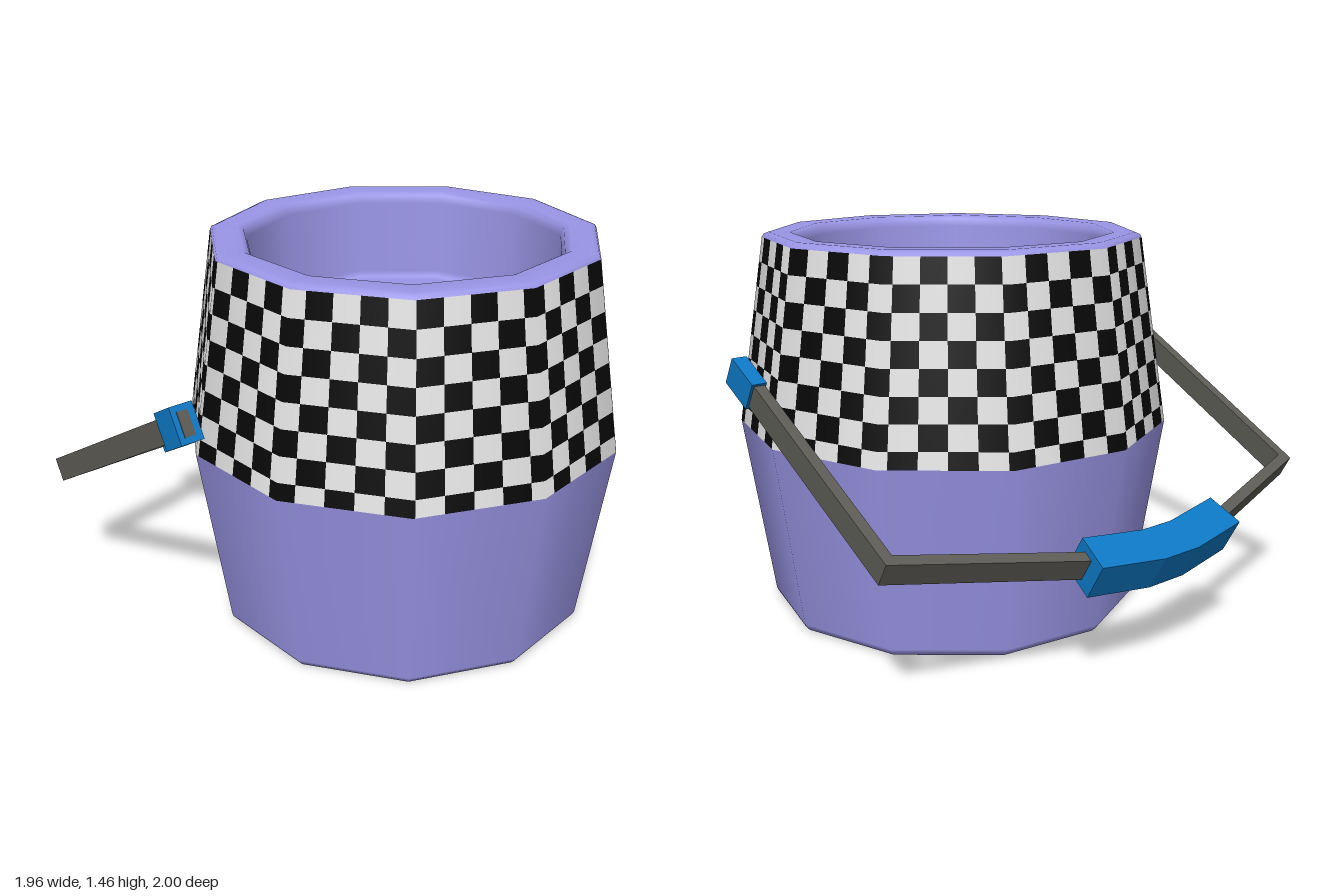
import * as THREE from 'three';

const mat = (name, color, side = THREE.FrontSide) => {
  const m = new THREE.MeshStandardMaterial({ color, side });
  m.name = name;
  return m;
};

const SIDES = 11, CELLS = 50;
const BELLY = [0.834, 0.735], SHOULDER = [0.725, 1.445]; // [radius, height]

// Lathed part of the eleven-sided barrel, one corner pointing to the back
function lathe(name, profile, material) {
  const pts = profile.map(([r, y]) => new THREE.Vector2(r, y));
  const mesh = new THREE.Mesh(new THREE.LatheGeometry(pts, SIDES, Math.PI, Math.PI * 2), material);
  mesh.name = name;
  return mesh;
}

// Chequered upper band: each cell is split where it crosses a barrel corner
function checkerBand(light, dark) {
  const cuts = [];
  for (let i = 0; i <= SIDES; i++) cuts.push(i / SIDES);
  for (let j = 1; j <= CELLS; j++) cuts.push((j - 0.11) / CELLS);
  cuts.sort((a, b) => a - b);

  const slope = (BELLY[0] - SHOULDER[0]) / (SHOULDER[1] - BELLY[1]);
  const point = (u, y) => {
    const f = (SHOULDER[1] - y) / (SHOULDER[1] - BELLY[1]);
    const r = THREE.MathUtils.lerp(SHOULDER[0], BELLY[0], f);
    const k = Math.min(Math.floor(u * SIDES + 1e-7), SIDES - 1);
    const corner = (n) => {
      const a = Math.PI + (n / SIDES) * Math.PI * 2;
      return new THREE.Vector3(Math.sin(a) * r, y, Math.cos(a) * r);
    };
    return corner(k).lerp(corner(k + 1), u * SIDES - k);
  };

  const faces = [[], []];
  const rowHeight = 0.0925;
  for (let row = 0; row < 8; row++) {
    const top = SHOULDER[1] - row * rowHeight;
    const low = Math.max(top - rowHeight, BELLY[1]);
    for (let i = 0; i < cuts.length - 1; i++) {
      const [u, v] = [cuts[i], cuts[i + 1]];
      const cell = Math.floor(((u + v) / 2) * CELLS + 0.11);
      const a = point(u, low), b = point(v, low), c = point(v, top), d = point(u, top);
      faces[(cell + row) % 2 === 0 ? 1 : 0].push(a, b, c, a, c, d);
    }
  }
  const all = [...faces[0], ...faces[1]];
  const geo = new THREE.BufferGeometry().setFromPoints(all);
  const normals = all.flatMap((p) => {
    const l = Math.hypot(p.x, p.z);
    return new THREE.Vector3(p.x / l, slope, p.z / l).normalize().toArray();
  });
  geo.setAttribute('normal', new THREE.Float32BufferAttribute(normals, 3));
  geo.addGroup(0, faces[0].length, 0);
  geo.addGroup(faces[0].length, faces[1].length, 1);
  const mesh = new THREE.Mesh(geo, [light, dark]);
  mesh.name = 'checkerBand';
  return mesh;
}

// Mitred rectangular beam along a path of [x, z] points
function beam(name, path, width, height, material) {
  const p = path.map(([x, z]) => new THREE.Vector2(x, z));
  const rings = p.map((c, i) => {
    const inDir = c.clone().sub(p[Math.max(i - 1, 0)]).normalize();
    const outDir = p[Math.min(i + 1, p.length - 1)].clone().sub(c).normalize();
    const t = inDir.clone().add(outDir).normalize();
    const ref = i === 0 ? outDir : inDir;
    const w = width / 2 / t.dot(ref);
    return [[1, 1], [1, -1], [-1, -1], [-1, 1]].map(([s, h]) =>
      new THREE.Vector3(c.x - t.y * w * s, (h * height) / 2, c.y + t.x * w * s));
  });
  const tris = [];
  const quad = (a, b, c, d) => tris.push(a, b, c, a, c, d);
  for (let i = 0; i < rings.length - 1; i++) {
    for (let k = 0; k < 4; k++) {
      const n = (k + 1) % 4;
      quad(rings[i][k], rings[i][n], rings[i + 1][n], rings[i + 1][k]);
    }
  }
  const first = rings[0], last = rings[rings.length - 1];
  quad(first[0], first[3], first[2], first[1]);
  quad(last[0], last[1], last[2], last[3]);
  const geo = new THREE.BufferGeometry().setFromPoints(tris);
  geo.computeVertexNormals();
  const mesh = new THREE.Mesh(geo, material);
  mesh.name = name;
  return mesh;
}

export function createModel() {
  const purple = mat('purple', 0x9a95e6);
  const white = mat('white', 0xe4e4e4);
  const black = mat('black', 0x080808);
  const blue = mat('blue', 0x0c78c4);
  const grey = mat('grey', 0x5c5b55);

  const model = new THREE.Group();
  model.name = 'barrelBucket';

  // Barrel
  const barrel = new THREE.Group();
  barrel.name = 'barrel';
  barrel.position.set(0.145, 0, -0.045);
  barrel.add(
    lathe('lowerBody', [[0, 0], [0.69, 0], [0.708, 0.003], [0.722, 0.018], [0.727, 0.03], BELLY], purple),
    checkerBand(white, black),
    lathe('rimAndInside', [SHOULDER, [0.718, 1.457], [0.7, 1.464], [0.62, 1.462], [0.598, 1.45],
      [0.588, 1.42], [0.575, 1.14], [0.565, 1.118], [0.54, 1.11], [0, 1.11]], purple),
  );
  model.add(barrel);

  // Swinging handle, built flat and then tilted
  const handle = new THREE.Group();
  handle.name = 'handle';
  handle.position.set(0.12, 0.98, 0);
  handle.rotation.z = 0.507;
  handle.add(
    beam('frontArm', [[0.057, 0.953], [-0.95, 0.955], [-1.12, 0.36]], 0.042, 0.09, grey),
    beam('backArm', [[0.06, -0.968], [-0.9, -0.978], [-1.12, -0.27]], 0.042, 0.09, grey),
    beam('grip', [[-1.12, 0.385], [-1.163, 0.12], [-1.163, -0.04], [-1.12, -0.3]], 0.14, 0.143, blue),
  );
  const clips = [
    ['frontClip', 0, 0.95, 0.108, 0.134, 0.09],
    ['backClip', 0.03, -0.971, 0.15, 0.108, 0.058],
  ];
  for (const [name, x, z, length, height, depth] of clips) {
    const clip = new THREE.Mesh(new THREE.BoxGeometry(length, height, depth), blue);
    clip.name = name;
    clip.position.set(x, 0, z);
    handle.add(clip);
  }
  model.add(handle);

  return model;
}
